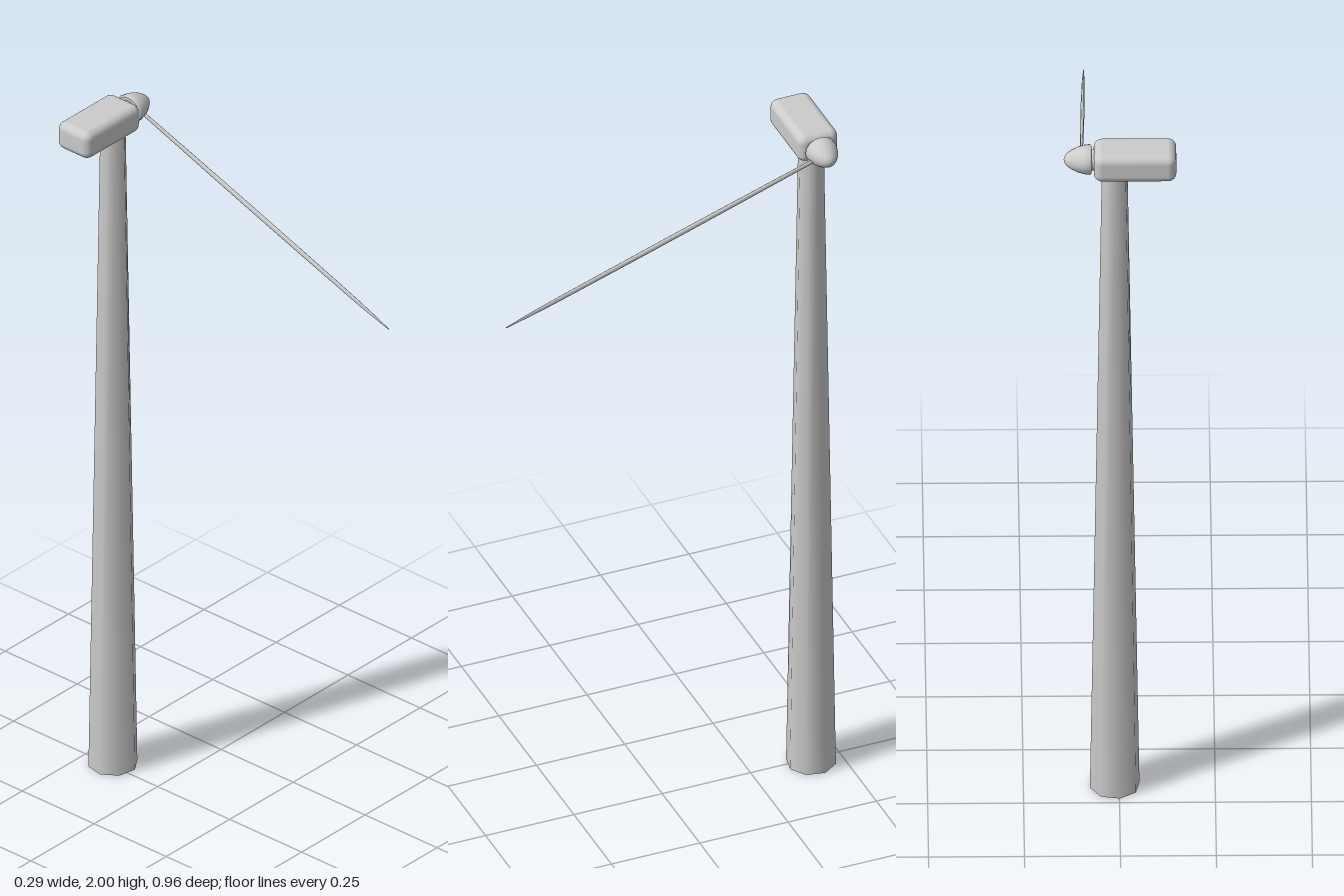
import * as THREE from 'three';
import { RoundedBoxGeometry } from 'three/addons/geometries/RoundedBoxGeometry.js';

const CENTRE_Z = -0.416;

export function createModel() {
  const model = new THREE.Group();
  model.name = 'windTurbine';
  const material = new THREE.MeshStandardMaterial({ color: 0xcccccc });

  const add = (name, geometry, x = 0, y = 0, z = 0) => {
    const mesh = new THREE.Mesh(geometry, material);
    mesh.name = name;
    mesh.position.set(x, y, z);
    model.add(mesh);
    return mesh;
  };

  // Tapered eight-sided tower
  const tower = add('tower', new THREE.CylinderGeometry(0.034, 0.066, 1.94, 8), 0.012, 0.97, CENTRE_Z);
  tower.rotation.y = 0.2;

  // Rounded housing on top of the tower
  add('nacelle', new RoundedBoxGeometry(0.215, 0.08, 0.112, 3, 0.022), -0.041, 1.96, CENTRE_Z - 0.002);

  // Short shaft between housing and hub
  const shaft = add('shaft', new THREE.CylinderGeometry(0.028, 0.028, 0.03, 12), 0.065, 1.96, CENTRE_Z);
  shaft.rotation.z = -Math.PI / 2;

  // Bullet-shaped hub pointing along +x
  const hubBack = [[0, 0], [0.038, 0]];
  const hubNose = [[0.038, 0], [0.043, 0.004], [0.041, 0.02], [0.036, 0.036],
    [0.028, 0.052], [0.018, 0.065], [0.009, 0.071], [0, 0.073]];
  const lathe = (points) =>
    new THREE.LatheGeometry(points.map(([r, h]) => new THREE.Vector2(r, h)), 16);
  for (const [name, points] of [['hubBack', hubBack], ['hubNose', hubNose]]) {
    const part = add(name, lathe(points), 0.072, 1.961, CENTRE_Z);
    part.rotation.z = -Math.PI / 2;
    part.scale.x = 0.92; // slightly flattened in height
  }

  // One slender blade: round root, flatter middle, pointed tip
  const root = new THREE.Vector3(0.099, 1.955, -0.405);
  const tip = new THREE.Vector3(0.085, 1.643, 0.478);
  const direction = tip.clone().sub(root);
  const length = direction.length();
  const bladeGeometry = new THREE.CylinderGeometry(1, 1, length, 10, 16);
  const position = bladeGeometry.attributes.position;
  for (let i = 0; i < position.count; i++) {
    const t = position.getY(i) / length + 0.5;
    const taper = t > 0.85 ? 1 - 0.75 * ((t - 0.85) / 0.15) ** 2 : 1;
    const thickness = (0.003 + 0.0025 * Math.sin(Math.PI * Math.min(1, t * 1.05))) * taper;
    const width = (0.006 + 0.0015 * Math.sin(Math.PI * t)) * taper;
    position.setX(i, position.getX(i) * thickness);
    position.setZ(i, position.getZ(i) * width);
  }
  bladeGeometry.computeVertexNormals();
  const middle = root.clone().add(tip).multiplyScalar(0.5);
  const blade = add('blade', bladeGeometry, middle.x, middle.y, middle.z);
  blade.quaternion.setFromUnitVectors(new THREE.Vector3(0, 1, 0), direction.normalize());

  return model;
}
